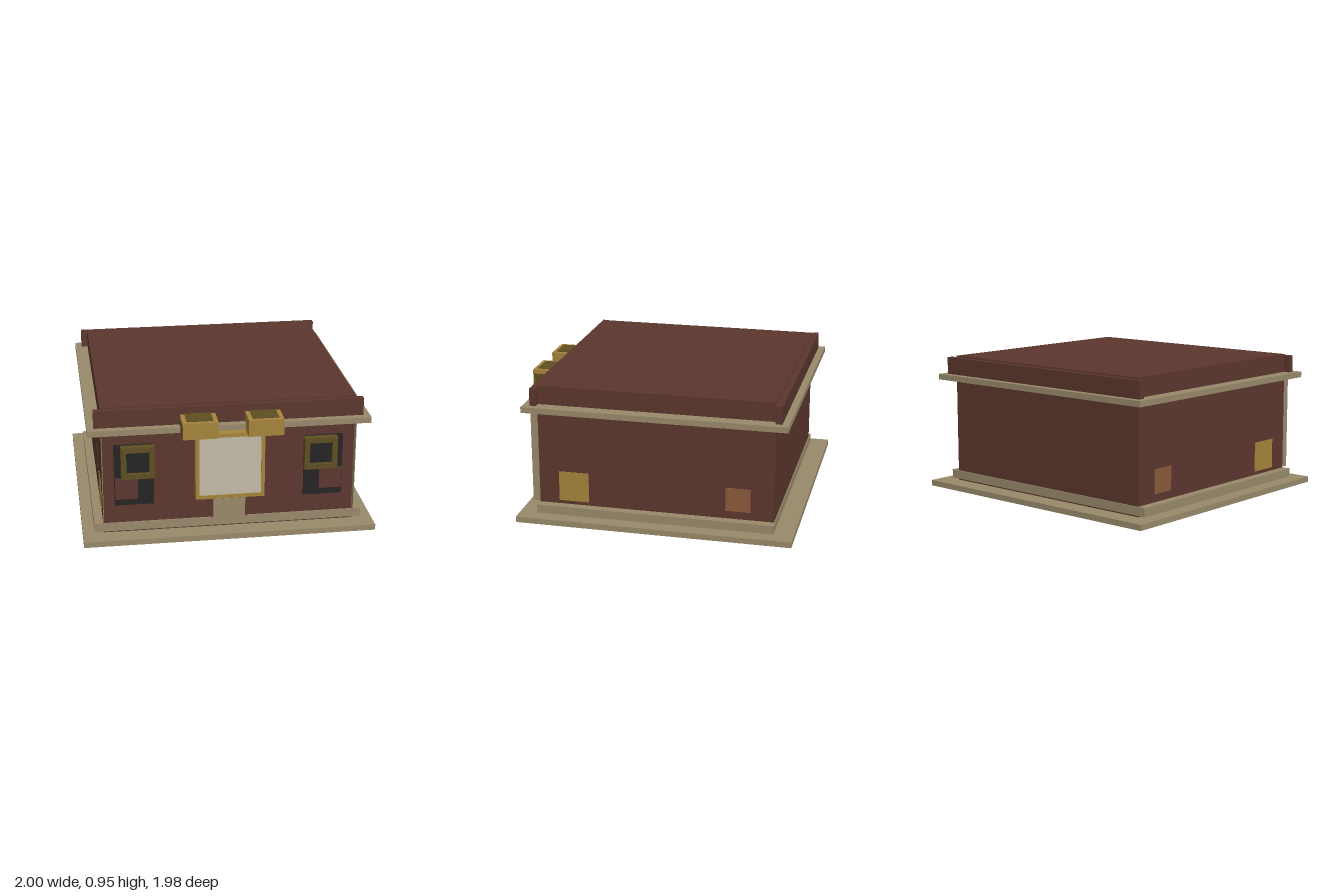
import * as THREE from 'three';

const mat = (name, color) => {
  const m = new THREE.MeshStandardMaterial({ color });
  m.name = name;
  return m;
};

export function createModel() {
  const model = new THREE.Group();
  model.name = 'building';
  const brown = mat('brown brick', 0x5b362e);
  const tan = mat('tan stone', 0x98896a);
  const gold = mat('gold trim', 0xa5843b);
  const darkGold = mat('dark gold', 0x5e4e21);
  const black = mat('black glass', 0x232323);
  const cream = mat('cream panel', 0xc3bba8);
  const copper = mat('copper hatch', 0x8b5a3c);

  // Box given by its limits on each axis
  const box = (name, m, x0, x1, y0, y1, z0, z1) => {
    const mesh = new THREE.Mesh(new THREE.BoxGeometry(x1 - x0, y1 - y0, z1 - z0), m);
    mesh.position.set((x0 + x1) / 2, (y0 + y1) / 2, (z0 + z1) / 2);
    mesh.name = name;
    model.add(mesh);
    return mesh;
  };
  // The same box on both sides of x = 0
  const pair = (name, m, x0, x1, ...rest) => {
    box(name + 'Left', m, x0, x1, ...rest);
    box(name + 'Right', m, -x1, -x0, ...rest);
  };
  // Rectangular frame with a square opening, facing +z
  const frame = (name, m, x0, x1, y0, y1, z0, z1, t) => {
    const s = new THREE.Shape();
    s.moveTo(x0, y0).lineTo(x1, y0).lineTo(x1, y1).lineTo(x0, y1).closePath();
    const h = new THREE.Path();
    h.moveTo(x0 + t, y0 + t).lineTo(x0 + t, y1 - t).lineTo(x1 - t, y1 - t).lineTo(x1 - t, y0 + t).closePath();
    s.holes.push(h);
    const g = new THREE.ExtrudeGeometry(s, { depth: z1 - z0, bevelEnabled: false });
    const mesh = new THREE.Mesh(g, m);
    mesh.position.z = z0;
    mesh.name = name;
    model.add(mesh);
  };

  // Main masses
  box('baseSlab', tan, -1, 1, 0, 0.04, -0.99, 0.915);
  box('walls', brown, -0.86, 0.86, 0.04, 0.95, -0.85, 0.78);
  box('plinth', tan, -0.92, 0.92, 0.05, 0.11, -0.857, 0.788);
  box('cornice', tan, -0.95, 0.95, 0.78, 0.82, -0.942, 0.868);
  box('frontParapet', brown, -0.905, 0.905, 0.82, 0.94, 0.775, 0.818);
  box('backParapet', brown, -0.905, 0.905, 0.82, 0.94, -0.895, -0.85);

  // Thin corner fins on the front
  pair('cornerFin', tan, 0.856, 0.86, 0.115, 0.78, 0.78, 0.83);

  // Central framed panel
  frame('panelFrame', gold, -0.235, 0.235, 0.275, 0.745, 0.78, 0.845, 0.025);
  box('panel', cream, -0.21, 0.21, 0.3, 0.72, 0.78, 0.838);

  // Low doorway below the panel
  box('doorSurround', brown, -0.12, 0.12, 0.11, 0.26, 0.78, 0.795);
  box('door', tan, -0.11, 0.11, 0.11, 0.25, 0.78, 0.802);

  // Windows with framed upper pane and a lower brown panel
  pair('windowBack', black, 0.512, 0.778, 0.24, 0.68, 0.78, 0.788);
  pair('lowerPanel', brown, 0.62, 0.774, 0.285, 0.44, 0.78, 0.795);
  for (const x of [0.507, -0.733])
    frame('windowFrame', darkGold, x, x + 0.226, 0.45, 0.676, 0.78, 0.842, 0.036);
  pair('windowPane', black, 0.543, 0.697, 0.486, 0.64, 0.78, 0.815);

  // Box lamps above the front, with dark top and side insets
  pair('lampBox', gold, 0.1, 0.335, 0.775, 0.89, 0.78, 0.985);
  pair('lampTop', darkGold, 0.13, 0.305, 0.885, 0.895, 0.815, 0.958);
  pair('lampSide', darkGold, 0.334, 0.337, 0.785, 0.86, 0.82, 0.978);

  // Hatches on the side walls: [name, material, y0, y1, z0, z1]
  for (const [name, m, ...r] of [
    ['goldHatch', gold, 0.135, 0.345, 0.43, 0.64],
    ['copperHatch', copper, 0.165, 0.33, -0.69, -0.52],
    ['smallHatch', brown, 0.315, 0.455, 0.185, 0.325],
    ['tallHatch', brown, 0.445, 0.65, -0.105, 0.04],
    ['backHatch', brown, 0.455, 0.6, -0.68, -0.535],
  ]) pair(name, m, 0.857, 0.864, ...r);

  return model;
}
